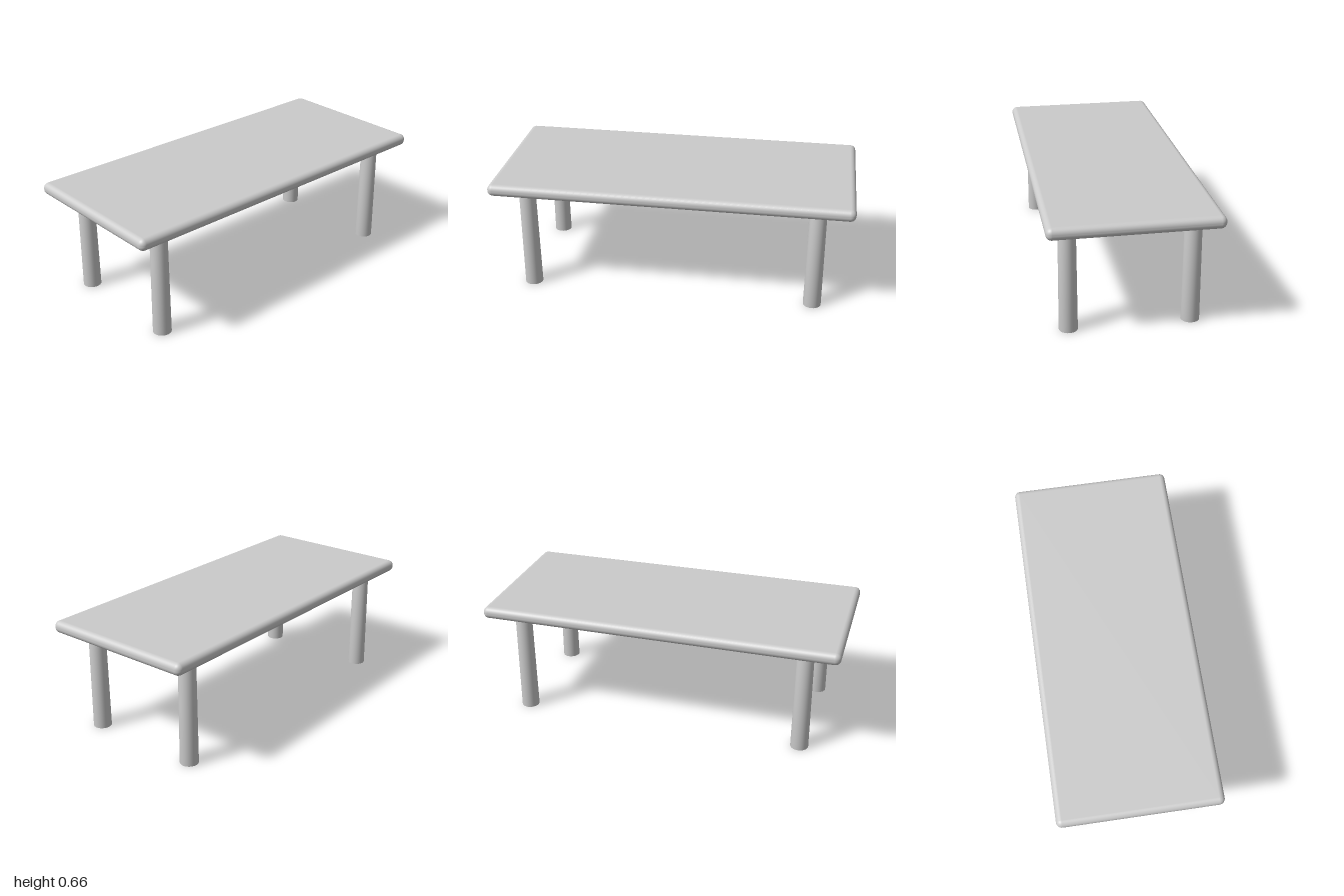
import * as THREE from 'three';
import { RoundedBoxGeometry } from 'three/addons/geometries/RoundedBoxGeometry.js';
import { mergeVertices } from 'three/addons/utils/BufferGeometryUtils.js';

const TOP_Y = 0.656, TOP_THICK = 0.067;
const LEG_X = 0.806, LEG_Z = 0.324;

// Slightly tapered round leg, with normals blended softly over the end caps
function legGeometry() {
  const height = TOP_Y - TOP_THICK + 0.002;
  const geo = new THREE.CylinderGeometry(0.046, 0.05, height, 32);
  geo.translate(0, height / 2, 0);
  geo.deleteAttribute('uv');
  geo.deleteAttribute('normal');
  const soft = mergeVertices(geo);
  soft.computeVertexNormals();
  return soft;
}

export function createModel() {
  const table = new THREE.Group();
  table.name = 'table';
  const material = new THREE.MeshStandardMaterial({ color: 0xcccccc });

  // Slab with rounded edges
  const top = new THREE.Mesh(new RoundedBoxGeometry(2, TOP_THICK, 0.894, 6, 0.031), material);
  top.name = 'tableTop';
  top.position.y = TOP_Y - TOP_THICK / 2;
  table.add(top);

  // Four legs, mirrored to the corners
  const geo = legGeometry();
  for (const x of [-1, 1]) {
    for (const z of [-1, 1]) {
      const leg = new THREE.Mesh(geo, material);
      leg.name = (z > 0 ? 'front' : 'back') + (x > 0 ? 'Left' : 'Right') + 'Leg';
      leg.position.set(x * LEG_X, 0, z * LEG_Z);
      table.add(leg);
    }
  }
  return table;
}
